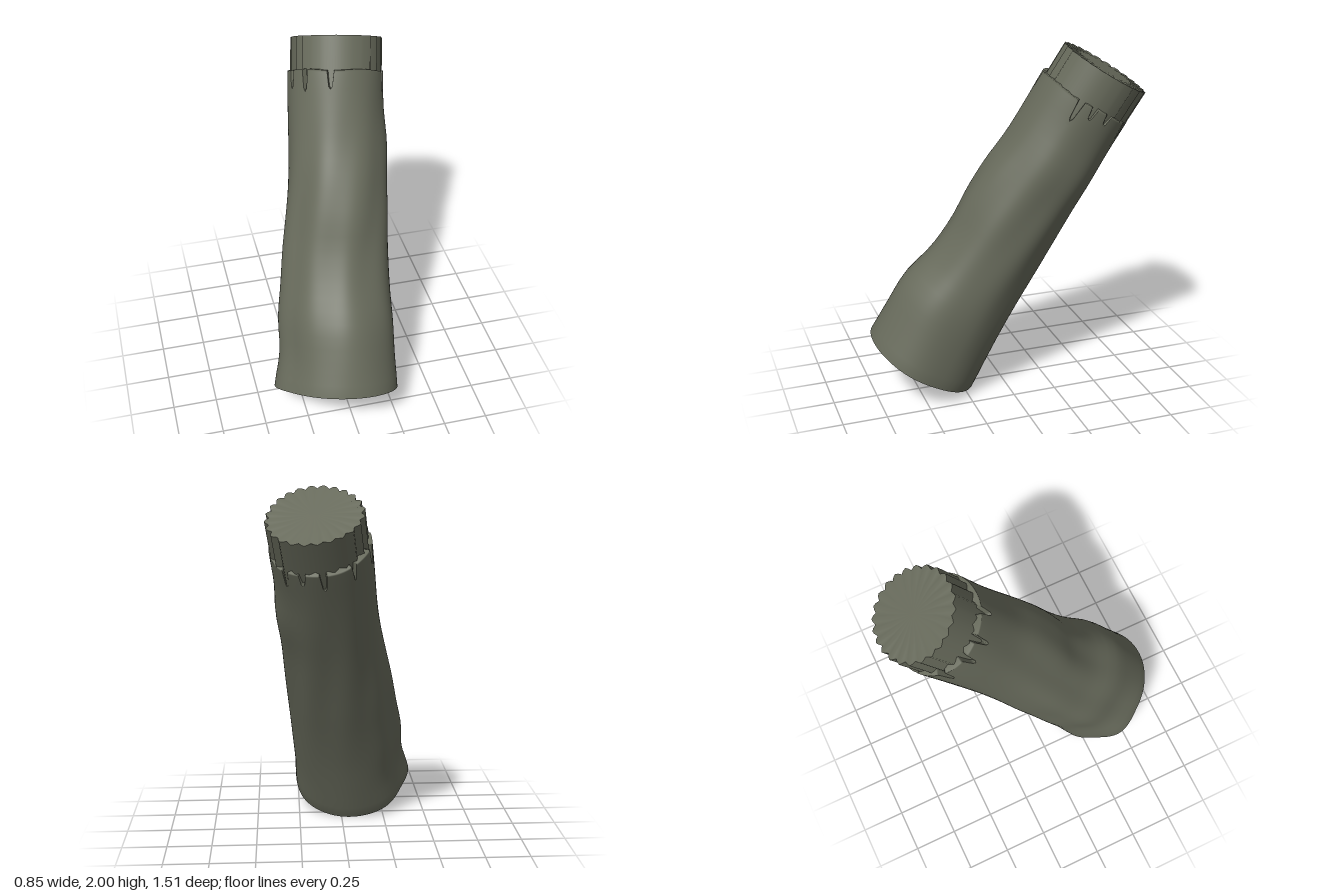
import * as THREE from 'three';

const RAD = Math.PI / 180;
const COLS = 180;

// Closed skin from rings; each ring is a rule: angle -> [radius, height]
function skin(rings, cols, radialNormals = false) {
  const pos = [], idx = [], nor = [];
  rings.forEach((ring, i) => {
    for (let j = 0; j < cols; j++) {
      const a = (j / cols) * Math.PI * 2, k = (j + 1) % cols;
      const [r, y] = ring(a, j);
      pos.push(Math.sin(a) * r, y, Math.cos(a) * r);
      nor.push(Math.sin(a), 0, Math.cos(a));
      if (i < rings.length - 1) {
        const p = i * cols + j, q = i * cols + k;
        idx.push(p, q, q + cols, p, q + cols, p + cols);
      }
    }
  });
  const g = new THREE.BufferGeometry();
  g.setAttribute('position', new THREE.Float32BufferAttribute(pos, 3));
  g.setIndex(idx);
  if (radialNormals) g.setAttribute('normal', new THREE.Float32BufferAttribute(nor, 3));
  else g.computeVertexNormals();
  return g;
}

// Smooth curve through four values
const spline = (p, q, r, s, f) =>
  q + 0.5 * f * (r - p + f * (2 * p - 5 * q + 4 * r - s + f * (3 * (q - r) + s - p)));

// Uneven base outline, one radius every 30 degrees from the front
const baseRadii = [0.35, 0.365, 0.372, 0.352, 0.35, 0.345, 0.345, 0.345, 0.325, 0.345, 0.32, 0.33];
const baseCurve = (a) => {
  const t = (a / (30 * RAD)) % 12, i = Math.floor(t);
  return spline(...[-1, 0, 1, 2].map((d) => baseRadii[(i + d + 12) % 12]), t - i);
};

const BODY_H = 1.79, FULL_H = 1.975;

// Bulges and hollows along the front, left, back and right of the bark
const sides = [
  [0, 0.015, 0.022, -0.023, -0.031, -0.006, 0, -0.012, -0.005, 0.008],
  [0, -0.01, -0.012, -0.013, -0.012, -0.011, -0.009, 0.003, -0.008, -0.002],
  [0, -0.01, -0.02, -0.023, -0.022, -0.022, -0.02, -0.015, -0.01, -0.004],
  [0, -0.02, -0.004, -0.01, -0.012, -0.02, -0.024, -0.018, -0.006, 0.004],
];
function sideOffset(a, t) {
  const u = Math.min(t, 0.9999) * 9, i = Math.floor(u);
  return sides.reduce((sum, c, k) => {
    const w = Math.max(0, Math.cos(a - (k * Math.PI) / 2)) ** 2;
    return sum + w * spline(c[Math.max(0, i - 1)], c[i], c[i + 1], c[Math.min(9, i + 2)], u - i);
  }, 0);
}

// Bark radius: tapers to a circle, with faint lengthwise ridges
function barkRadius(a, y) {
  const t = y / BODY_H;
  const ridges = 0.004 * Math.sin(8 * a + 1.5 * Math.sin(3 * y)) * Math.sin(Math.PI * Math.min(1, t));
  return THREE.MathUtils.lerp(baseCurve(a), 0.266, Math.min(1, t)) + sideOffset(a, t) + ridges;
}

// Splits in the upper bark edge: angle in degrees, depth
const splits = [[-20, 0.1], [-52, 0.12], [-76, 0.1], [-108, 0.11], [-143, 0.09], [180, 0.1],
  [156, 0.07], [134, 0.1], [98, 0.06], [78, 0.07], [60, 0.12]];
function topEdge(a) {
  let y = BODY_H + 0.004 * Math.sin(5 * a);
  for (const [deg, depth] of splits) {
    const d = Math.abs(((a / RAD - deg + 540) % 360) - 180);
    if (d < 3) y -= depth * (d < 1.5 ? 1 : 0.85);
  }
  return y;
}

function barkGeometry() {
  // base face: level with the rim in front, sunk behind a low wall at the back
  const sunk = (a) => 0.04 * (1 - Math.cos(a));
  const rings = [
    () => [0, 0.04],
    (a) => [baseCurve(a) * 0.5, 0.02 + sunk(a) * 0.5],
    (a) => [baseCurve(a) * 0.93, sunk(a)],
    (a) => [baseCurve(a) * 0.98, sunk(a) * 0.1],
  ];
  const low = 1.64, steps = 24;
  for (let i = 0; i <= steps; i++) {
    const y = (low * i) / steps;
    rings.push((a) => [barkRadius(a, y), y]);
  }
  // upper band follows the split edge, then a small ledge runs in to the core
  for (const f of [0.35, 0.7, 0.93, 1]) {
    rings.push((a) => {
      const y = low + (topEdge(a) - low) * f;
      return [barkRadius(a, y), y];
    });
  }
  rings.push((a) => [0.215, topEdge(a) + 0.004]);
  return skin(rings, COLS);
}

// Fluted core
const TEETH = 24, CORE_COLS = TEETH * 4;
const flute = (a, j) => [0.256, 0.247, 0.236, 0.247][j % 4] + 0.004 * Math.sin(3 * a + 1);

export function createModel() {
  const bark = new THREE.MeshStandardMaterial({ color: 0x676a5b });
  bark.name = 'grey green bark';

  const group = new THREE.Group();
  group.name = 'leaningLog';
  const log = new THREE.Group();
  log.name = 'log';
  const add = (name, geometry, x = 0) => {
    const m = new THREE.Mesh(geometry, bark);
    m.name = name;
    m.position.x = x;
    log.add(m);
  };

  add('barkBody', barkGeometry());
  add('coreWall', skin([
    (a, j) => [flute(a, j), 1.6],
    (a, j) => [flute(a, j), FULL_H],
  ], CORE_COLS, true), 0.006);
  // puckered cut face
  add('coreTop', skin([1, 0.6, 0].map((f) => (a, j) => [
    flute(a, j) * f, FULL_H - (f === 1 && j % 4 === 2 ? 0.006 : 0),
  ]), CORE_COLS), 0.006);

  // lean the log back and to its left
  log.quaternion.setFromUnitVectors(
    new THREE.Vector3(0, 1, 0), new THREE.Vector3(0.255, 1.69, -0.99).normalize());
  group.add(log);

  // stand on the ground, centred
  group.updateMatrixWorld(true);
  const box = new THREE.Box3().setFromObject(group, true);
  const c = box.getCenter(new THREE.Vector3());
  log.position.set(-c.x, -box.min.y, -c.z);
  return group;
}
